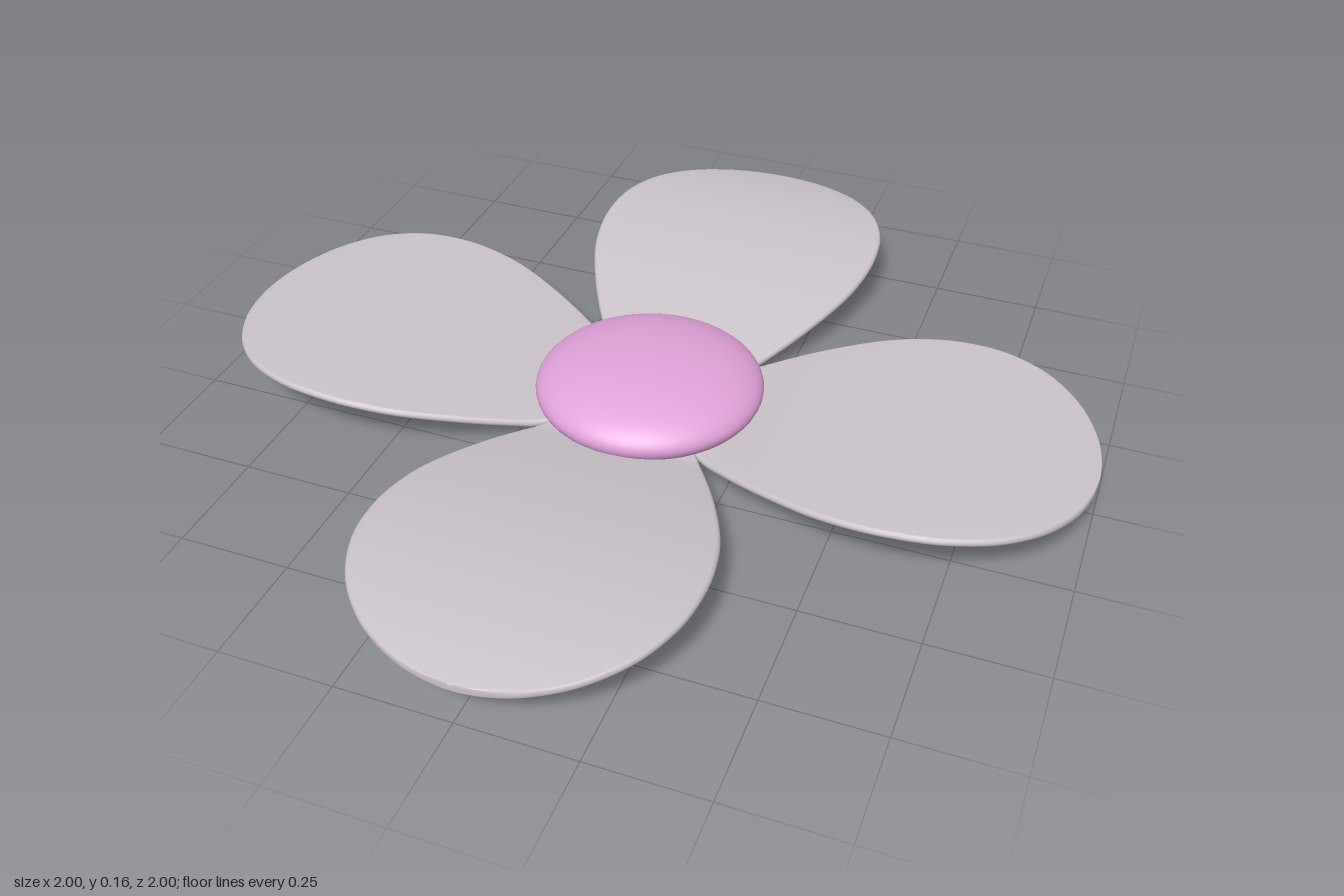
import * as THREE from 'three';

const T = 0.009; // half the petal thickness

// Half-outline of a petal: distance from the flower's middle, half width
const outline = new THREE.SplineCurve([
  [0.1, 0.12], [0.19, 0.185], [0.315, 0.26], [0.45, 0.322], [0.55, 0.348], [0.64, 0.355],
  [0.74, 0.343], [0.84, 0.3], [0.92, 0.228], [0.97, 0.145], [0.993, 0.07], [1, 0],
].map(([r, w]) => new THREE.Vector2(r, w)));

// Height of the petal's mid surface: rises, crests, then droops at the tip
const height = (r) =>
  Math.max(0.045, 0.06 + (r - 0.27) * (0.18 + (r - 0.52) * (-0.238 - 0.177 * (r - 0.74))));

// Thin closed petal lofted along +x from flat sections with rounded edges
function petalGeometry() {
  const rings = 66, across = 10, round = 6;
  const positions = [], index = [];
  const n = 2 * (across + round);
  for (let i = 0; i <= rings; i++) {
    const p = outline.getPoint(i / rings);
    const w = Math.max(0, p.y);
    const e = Math.min(T, w);
    const y = height(p.x);
    for (const side of [1, -1]) {
      // flat face, then the rounded edge that follows it
      for (let j = 0; j < across; j++) {
        positions.push(p.x, y + side * e, side * (w - e) * (2 * j / across - 1));
      }
      for (let j = 0; j < round; j++) {
        const a = Math.PI * j / round;
        positions.push(p.x, y + side * e * Math.cos(a), side * (w - e + e * Math.sin(a)));
      }
    }
  }
  for (let i = 0; i < rings; i++) {
    for (let j = 0; j < n; j++) {
      const a = i * n + j, b = i * n + (j + 1) % n;
      index.push(a, b, a + n, b, b + n, a + n);
    }
  }
  const g = new THREE.BufferGeometry();
  g.setAttribute('position', new THREE.Float32BufferAttribute(positions, 3));
  g.setIndex(index);
  g.computeVertexNormals();
  return g;
}

export function createModel() {
  const petalMat = new THREE.MeshStandardMaterial({ color: 0xcac3ca });
  petalMat.name = 'pale grey petal';
  const centreMat = new THREE.MeshStandardMaterial({ color: 0xe0a2d8 });
  centreMat.name = 'pink centre';

  const flower = new THREE.Group();
  flower.name = 'flower';

  // Four petals in a cross
  const geometry = petalGeometry();
  for (let k = 0; k < 4; k++) {
    const petal = new THREE.Mesh(geometry, petalMat);
    petal.name = 'petal' + (k + 1);
    petal.rotation.y = k * Math.PI / 2;
    flower.add(petal);
  }

  // Flattened round centre
  const centre = new THREE.Mesh(new THREE.SphereGeometry(0.258, 48, 32), centreMat);
  centre.name = 'flowerCentre';
  centre.scale.y = 0.081 / 0.258;
  centre.position.y = 0.081;
  flower.add(centre);

  return flower;
}
